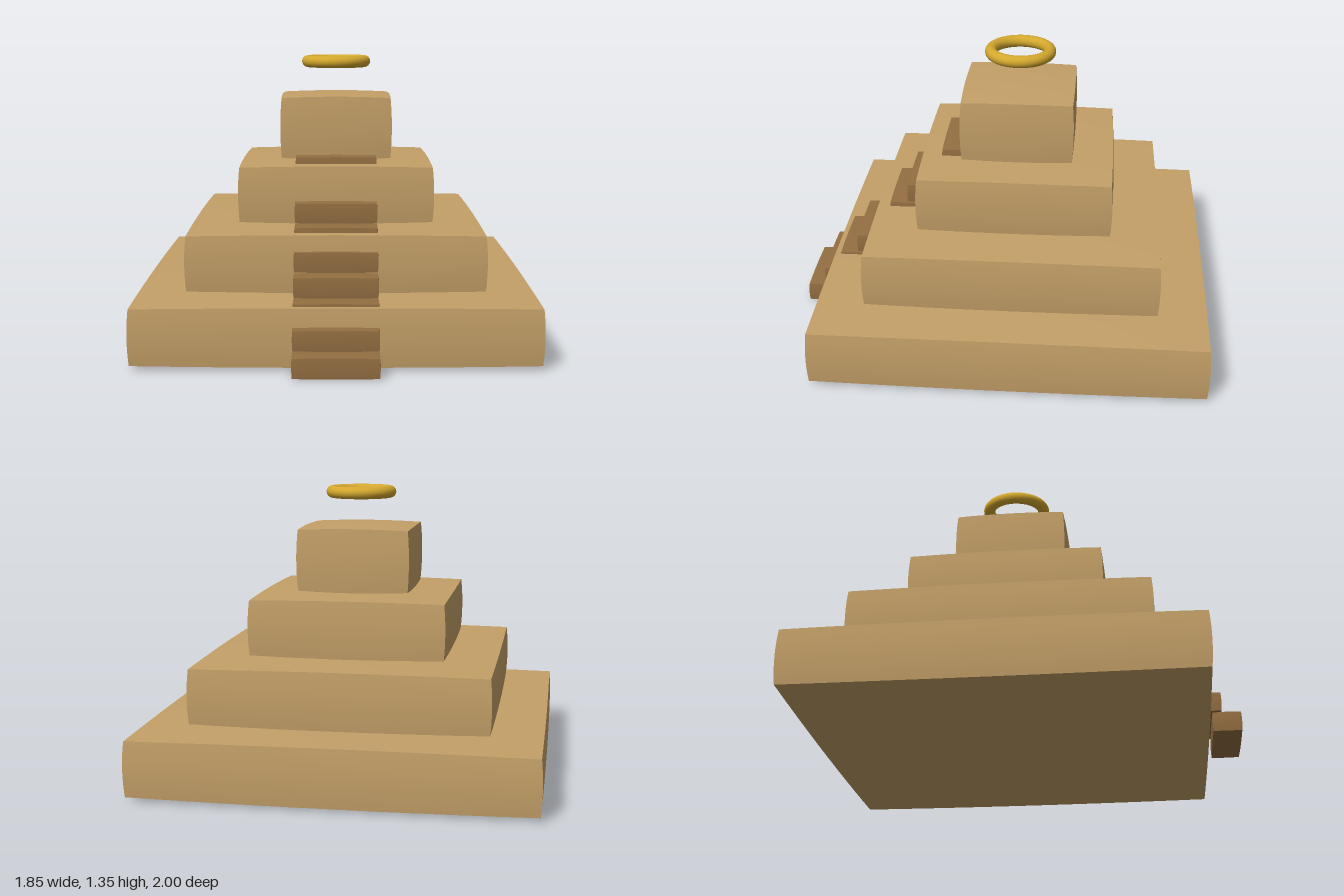
import * as THREE from 'three';

// Box whose faces and edges swell gently outward; half sizes are measured at the corners
function swollenBox(hx, hy, hz, bulge) {
  const g = new THREE.BoxGeometry(2, 2, 2, 10, 10, 10);
  const p = g.attributes.position;
  const grow = (a, b) => bulge * (0.6 * (1 - a * a) + 0.4 * (1 - b * b));
  for (let i = 0; i < p.count; i++) {
    const x = p.getX(i), y = p.getY(i), z = p.getZ(i);
    p.setXYZ(i, x * (hx + grow(y, z)), y * (hy + grow(x, z)), z * (hz + grow(y, x)));
  }
  g.computeVertexNormals();
  return g;
}

export function createModel() {
  const model = new THREE.Group();
  model.name = 'steppedPyramid';
  const sandstone = new THREE.MeshStandardMaterial({ name: 'sandstone', color: 0xc4a068 });
  const darkStone = new THREE.MeshStandardMaterial({ name: 'dark stone', color: 0x946f42 });
  const gold = new THREE.MeshStandardMaterial({ name: 'gold', color: 0xd4a82e });
  const centreZ = -0.07;

  const add = (name, geometry, material, y, z) => {
    const mesh = new THREE.Mesh(geometry, material);
    mesh.name = name;
    mesh.position.set(0, y, z);
    model.add(mesh);
    return mesh;
  };

  // Terraces and the shrine on top: corner half width, bottom, top
  const tiers = [
    ['lowerTerrace', 0.915, 0.018, 0.274],
    ['middleTerrace', 0.684, 0.303, 0.558],
    ['upperTerrace', 0.454, 0.586, 0.844],
    ['topShrine', 0.262, 0.868, 1.158],
  ];
  for (const [name, half, bottom, top] of tiers) {
    add(name, swollenBox(half, (top - bottom) / 2, half, 0.011), sandstone, (bottom + top) / 2, centreZ);
  }

  // Stairway climbing the front
  for (let i = 0; i < 9; i++) {
    add(`step${i + 1}`, swollenBox(0.19, 0.0445, 0.065, 0.004), darkStone,
      0.0485 + i * 0.0985, 0.931 - i * 0.088);
  }

  // Floating ring
  const ring = add('floatingRing', new THREE.TorusGeometry(0.141, 0.029, 16, 48), gold, 1.325, centreZ);
  ring.rotation.x = Math.PI / 2;

  return model;
}
